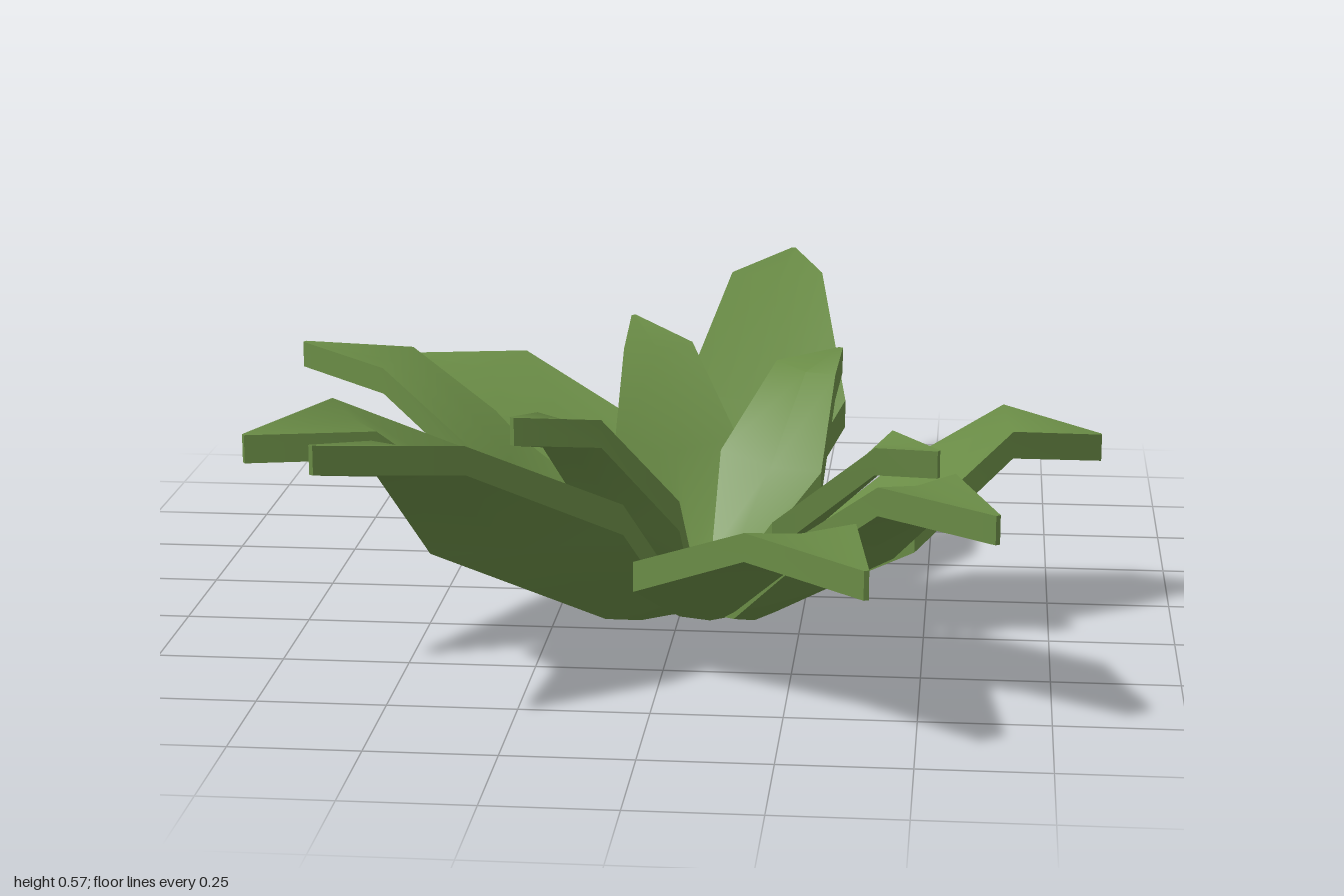
import * as THREE from 'three';
import { toCreasedNormals } from 'three/addons/utils/BufferGeometryUtils.js';

const BASE = [0.05, 0.1]; // x, z where all leaves meet

// Per leaf: roll (raises the right edge) | tip x, y, z | shoulder y |
// shoulder edges x,z x,z | widest edges x,z x,z
const OUTER = [
  [-0.01, 0.16, 0.54, -1.0, 0.54, 0.04, -0.7, 0.24, -0.74, -0.04, -0.37, 0.31, -0.41],
  [0.04, -0.69, 0.38, -0.53, 0.39, -0.4, -0.49, -0.54, -0.32, -0.17, -0.42, -0.34, -0.12],
  [0, -0.86, 0.455, -0.31, 0.45, -0.62, -0.3, -0.65, -0.1, -0.39, -0.28, -0.37, 0.11],
  [0.03, -0.78, 0.5, 0.65, 0.5, -0.66, 0.39, -0.54, 0.57, -0.45, 0.11, -0.3, 0.46],
  [-0.03, -0.58, 0.575, 0.99, 0.525, -0.52, 0.73, -0.33, 0.82, -0.45, 0.52, -0.07, 0.56],
  [0.01, 0.41, 0.37, 0.99, 0.38, 0.18, 0.82, 0.38, 0.72, -0.05, 0.57, 0.26, 0.45],
  [0.02, 0.64, 0.44, 0.86, 0.45, 0.42, 0.75, 0.56, 0.6, 0.24, 0.62, 0.44, 0.35],
  [0, 0.85, 0.375, 0.02, 0.42, 0.65, -0.03, 0.67, 0.19, 0.41, -0.07, 0.48, 0.31],
];
const INNER = [
  [0, -0.16, 0.49, -0.48, 0.46, -0.02, -0.36, -0.16, -0.28, 0.09, -0.22, -0.16, -0.08],
  [0, 0.3, 0.45, -0.38, 0.45, 0.17, -0.25, 0.3, -0.13, 0.06, -0.14, 0.28, 0.02],
  [0, 0.525, 0.42, 0.35, 0.42, 0.43, 0.2, 0.4, 0.34, 0.3, 0.07, 0.2, 0.33],
  [0, -0.28, 0.525, 0.57, 0.5, -0.25, 0.43, -0.12, 0.48, -0.2, 0.2, 0.02, 0.37],
];

// Cross-section: three points along the top, three back along the underside
function section([l, r], y, roll, sag, thick) {
  const top = [
    [l[0], y - roll, l[1]],
    [(l[0] + r[0]) / 2, y - sag, (l[1] + r[1]) / 2],
    [r[0], y + roll, r[1]],
  ];
  const under = top.map(([x, h, z]) => [x, h - thick, z]).reverse();
  return [...top, ...under];
}

function leafGeometry([roll, tx, ty, tz, sy, ...e]) {
  const dx = tx - BASE[0], dz = tz - BASE[1], len = Math.hypot(dx, dz);
  const right = [-dz / len, dx / len];
  // sort an edge pair into left and right, seen from the base
  const pair = (a, b) =>
    (b[0] - a[0]) * right[0] + (b[1] - a[1]) * right[1] > 0 ? [a, b] : [b, a];
  // edge pair of a given half width around a centre
  const spread = (c, h) => [
    [c[0] - right[0] * h, c[1] - right[1] * h],
    [c[0] + right[0] * h, c[1] + right[1] * h],
  ];
  const shoulder = pair([e[0], e[1]], [e[2], e[3]]);
  const wide = pair([e[4], e[5]], [e[6], e[7]]);
  const low = wide.map((p) => [0, 1].map((k) => BASE[k] + (p[k] - BASE[k]) * 0.38));
  const rings = [
    section(spread(BASE, 0.03), 0.06, 0, 0, 0.055),
    section(low, 0.1, roll * 0.4, 0.01, 0.06),
    section(wide, sy * 0.62, roll, 0.015, 0.06),
    section(shoulder, sy, roll * 0.3, 0.01, 0.055),
    section(spread([tx, tz], 0.005), ty, 0, 0, 0.055),
  ];

  const pos = [];
  const quad = (a, b, c, d) => pos.push(...a, ...b, ...c, ...a, ...c, ...d);
  for (let s = 0; s < rings.length - 1; s++) {
    const p = rings[s], q = rings[s + 1];
    for (let i = 0; i < 6; i++) {
      const j = (i + 1) % 6;
      quad(p[i], p[j], q[j], q[i]);
    }
  }
  // end caps
  const a = rings[0], b = rings[rings.length - 1];
  quad(a[5], a[4], a[1], a[0]);
  quad(a[4], a[3], a[2], a[1]);
  quad(b[0], b[1], b[4], b[5]);
  quad(b[1], b[2], b[3], b[4]);

  const g = new THREE.BufferGeometry();
  g.setAttribute('position', new THREE.Float32BufferAttribute(pos, 3));
  return toCreasedNormals(g, 0.9);
}

export function createModel() {
  const plant = new THREE.Group();
  plant.name = 'plant';
  const green = new THREE.MeshStandardMaterial({ color: 0x6a8c46 });

  for (const [name, leaves] of [['outerLeaf', OUTER], ['innerLeaf', INNER]]) {
    leaves.forEach((leaf, i) => {
      const mesh = new THREE.Mesh(leafGeometry(leaf), green);
      mesh.name = `${name}${i + 1}`;
      plant.add(mesh);
    });
  }
  return plant;
}
